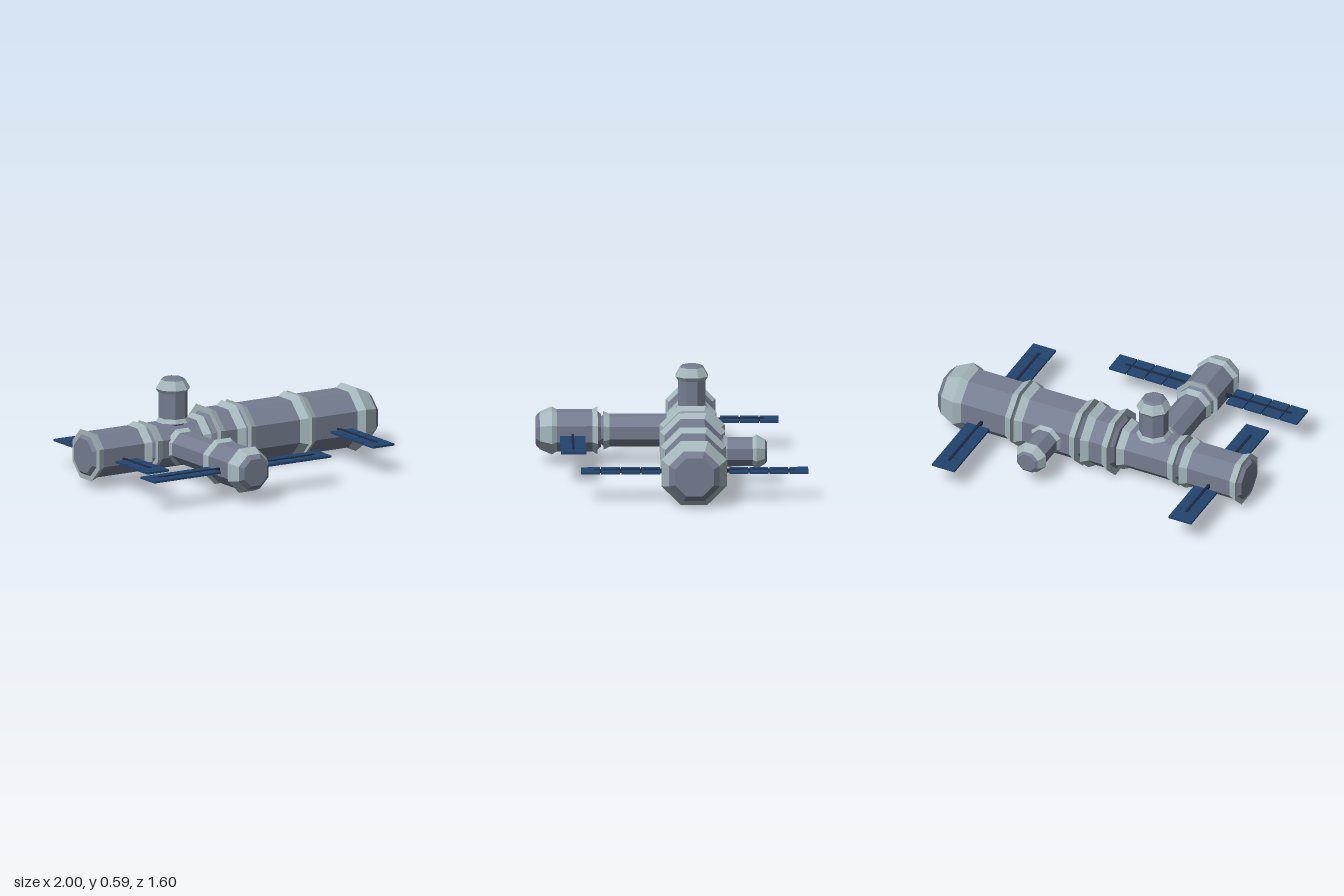
import * as THREE from 'three';

const paint = (name, color) => {
  const m = new THREE.MeshStandardMaterial({ color });
  m.name = name;
  return m;
};

export function createModel() {
  const hullGrey = paint('hull grey', 0x757d90);
  const collarGrey = paint('collar pale grey', 0xa6b8bd);
  const panelBlue = paint('panel blue', 0x21446f);
  const boomNavy = paint('boom navy', 0x1f2940);

  const model = new THREE.Group();
  model.name = 'spaceStation';
  const CY = 0.193, CZ = -0.123;

  // Faceted octagonal shell; points are [distance along axis, half width across flats]
  function shell(name, points, material) {
    const profile = points.map(([a, w]) => new THREE.Vector2(w / Math.cos(Math.PI / 8), a));
    const geometry = new THREE.LatheGeometry(profile, 8, Math.PI / 8).toNonIndexed();
    geometry.computeVertexNormals();
    const mesh = new THREE.Mesh(geometry, material);
    mesh.name = name;
    return mesh;
  }

  const turns = { x: [0, 0, -Math.PI / 2], y: [0, 0, 0], z: [Math.PI / 2, 0, 0], back: [-Math.PI / 2, 0, 0] };

  // Module from start s to end e; nose gives the tapered end as [axial, half width] rings
  function addModule(name, axis, position, { s, e, hull, rim, nose, collar = 0.046 }) {
    const group = new THREE.Group();
    group.name = name;
    group.rotation.set(...turns[axis]);
    group.position.set(...position);
    const inner = rim * 0.8, neck = rim * 0.68, cap = 0.02;
    group.add(
      shell('startCap', [[s - cap, 0], [s - cap, neck], [s, inner]], hullGrey),
      shell('startCollar', [[s, inner], [s, rim], [s + collar, hull]], collarGrey)
    );
    if (nose) {
      const [base, edge, taper, tip] = nose;
      group.add(
        shell('hull', [[s + collar, hull], [base, hull]], hullGrey),
        shell('noseCollar', [[base, hull], [edge, rim], taper], collarGrey),
        shell('noseCap', [taper, tip, [tip[0], 0]], hullGrey)
      );
    } else {
      group.add(
        shell('hull', [[s + collar, hull], [e - collar, hull]], hullGrey),
        shell('endCollar', [[e - collar, hull], [e, rim], [e, inner]], collarGrey),
        shell('endCap', [[e, inner], [e + cap, neck], [e + cap, 0]], hullGrey)
      );
    }
    model.add(group);
  }

  // Main spine
  const spine = [0, CY, CZ];
  const small = { hull: 0.13, rim: 0.148 }, large = { hull: 0.168, rim: 0.193 };
  addModule('rightEndModule', 'x', spine, { s: -0.98, e: -0.606, ...small });
  addModule('hubModule', 'x', spine, { s: -0.566, e: -0.192, ...small });
  addModule('shortModule', 'x', spine, { s: -0.153, e: 0.024, ...large });
  addModule('longModule', 'x', spine, { s: 0.062, e: 0.464, ...large });
  addModule('leftEndModule', 'x', spine, {
    s: 0.485, ...large, nose: [0.823, 0.866, [0.965, 0.15], [1.0, 0.115]]
  });

  // Forward branch
  const hubX = -0.377;
  addModule('frontTunnel', 'z', [hubX, CY, 0], { s: -0.01, e: 0.4, hull: 0.092, rim: 0.108, collar: 0.036 });
  addModule('frontModule', 'z', [hubX, CY, 0], {
    s: 0.434, hull: 0.118, rim: 0.134, collar: 0.032, nose: [0.676, 0.705, [0.777, 0.105], [0.8, 0.08]]
  });

  // Small docking pods above the hub and behind the long module
  const pod = { hull: 0.081, rim: 0.096, collar: 0.025 };
  addModule('topPod', 'y', [-0.368, 0, CZ], {
    s: 0.325, ...pod, nose: [0.503, 0.525, [0.578, 0.067], [0.588, 0.053]]
  });
  addModule('backPod', 'back', [0.254, CY, 0], {
    s: 0.303, ...pod, nose: [0.476, 0.498, [0.55, 0.068], [0.56, 0.054]]
  });

  function box(name, size, position, material) {
    const mesh = new THREE.Mesh(new THREE.BoxGeometry(...size), material);
    mesh.name = name;
    mesh.position.set(...position);
    return mesh;
  }

  // A pair of wings along local x on one boom; each wing is [start, end]
  function addWings(name, position, alongZ, count, wings, boom) {
    const group = new THREE.Group();
    group.name = name;
    group.position.set(...position);
    if (alongZ) group.rotation.y = -Math.PI / 2;
    for (const [a, b] of wings) {
      const pitch = (b - a) / count;
      for (let i = 0; i < count; i++) {
        group.add(box('solarPanel', [pitch - 0.007, 0.013, 0.15], [a + pitch * (i + 0.5), 0, 0], panelBlue));
      }
    }
    group.add(box('boom', [boom[1] - boom[0], 0.022, 0.016], [(boom[0] + boom[1]) / 2, 0, 0], boomNavy));
    model.add(group);
  }

  addWings('rightEndWings', [-0.799, 0.169, 0], true, 3, [[-0.645, -0.292], [0.035, 0.393]], [-0.556, 0.3]);
  addWings('leftEndWings', [0.686, 0.169, 0], true, 4, [[-0.804, -0.331], [0.072, 0.548]], [-0.725, 0.47]);
  addWings('frontWings', [0, 0.184, 0.583], false, 4, [[-1.003, -0.527], [-0.229, 0.248]], [-0.925, 0.17]);

  return model;
}
